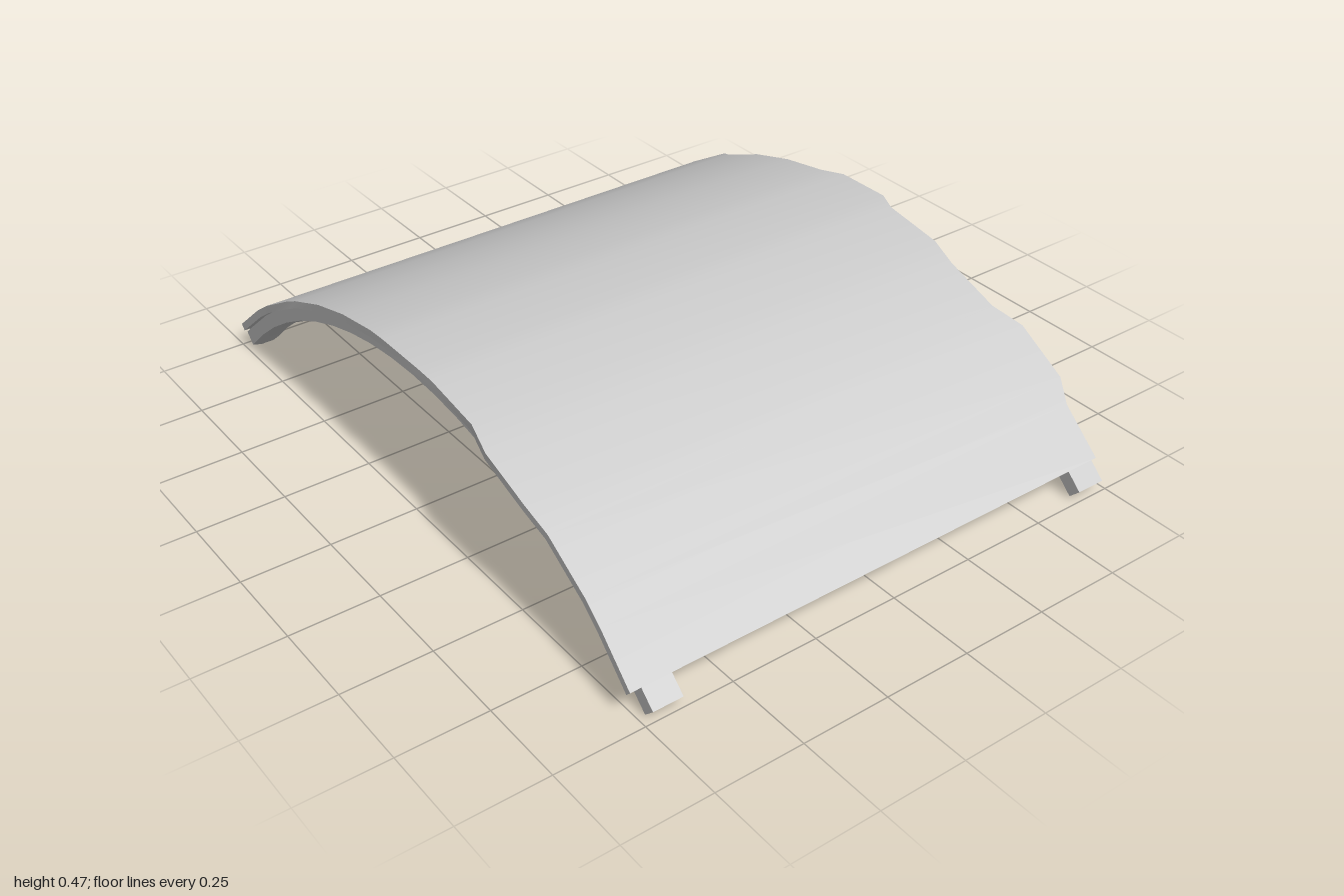
import * as THREE from 'three';
import { toCreasedNormals } from 'three/addons/utils/BufferGeometryUtils.js';

const CENTRE_Y = -0.967; // axis of the arch lies below the ground
const R_RIB = 1.371, R_INNER = 1.416, R_OUTER = 1.437;

// Sweeps a convex section of [radius, z] points round the arch, section by section.
function sweepArch(angles, sectionAt) {
  const rings = angles.map((a, i) => sectionAt(a, i).map(([r, z]) =>
    [r * Math.sin(a), r * Math.cos(a) + CENTRE_Y, z]));
  const n = rings[0].length, last = rings.length - 1, pos = [];
  const tri = (a, b, c) => pos.push(...a, ...b, ...c);
  for (let k = 0; k < last; k++) {
    for (let i = 0; i < n; i++) {
      const j = (i + 1) % n, p = rings[k], q = rings[k + 1];
      tri(p[i], q[i], q[j]);
      tri(p[i], q[j], p[j]);
    }
  }
  for (let i = 1; i < n - 1; i++) {
    tri(rings[0][0], rings[0][i], rings[0][i + 1]);
    tri(rings[last][0], rings[last][i + 1], rings[last][i]);
  }
  const geo = new THREE.BufferGeometry();
  geo.setAttribute('position', new THREE.Float32BufferAttribute(pos, 3));
  return toCreasedNormals(geo, 0.5);
}

export function createModel() {
  const group = new THREE.Group();
  const material = new THREE.MeshStandardMaterial({ color: 0xcccccc });
  const add = (name, geometry) => {
    const mesh = new THREE.Mesh(geometry, material);
    mesh.name = name;
    group.add(mesh);
  };

  // Roof sheet with a worn outline: x, back z, front z
  const outline = [
    [-0.99, -0.75, 0.75], [-0.86, -0.75, 0.75], [-0.8, -0.775, 0.75],
    [-0.65, -0.775, 0.753], [-0.6, -0.748, 0.75], [-0.46, -0.75, 0.75],
    [-0.32, -0.75, 0.75], [-0.17, -0.75, 0.75], [-0.1, -0.775, 0.752],
    [0.07, -0.775, 0.752], [0.13, -0.75, 0.75], [0.31, -0.75, 0.75],
    [0.4, -0.73, 0.77], [0.56, -0.73, 0.768], [0.64, -0.768, 0.76],
    [0.79, -0.768, 0.762], [0.85, -0.735, 0.765], [0.972, -0.73, 0.772],
  ];
  add('roofSheet', sweepArch(
    outline.map(([x]) => Math.asin(x / R_OUTER)),
    (a, i) => {
      const [, back, front] = outline[i];
      return [[R_INNER, front], [R_OUTER, front], [R_OUTER, back], [R_INNER, back]];
    }));

  // Supporting ribs with a slightly rounded underside
  const ribAngles = Array.from({ length: 21 }, (_, i) => (i / 20 - 0.5) * Math.PI / 2);
  for (const [name, z] of [['frontRib', 0.688], ['backRib', -0.688]]) {
    add(name, sweepArch(ribAngles, () => [
      [R_RIB + 0.004, z + 0.043], [R_INNER + 0.001, z + 0.043],
      [R_INNER + 0.001, z - 0.043], [R_RIB + 0.004, z - 0.043],
      [R_RIB - 0.003, z - 0.02], [R_RIB - 0.003, z + 0.02],
    ]));
  }
  return group;
}
